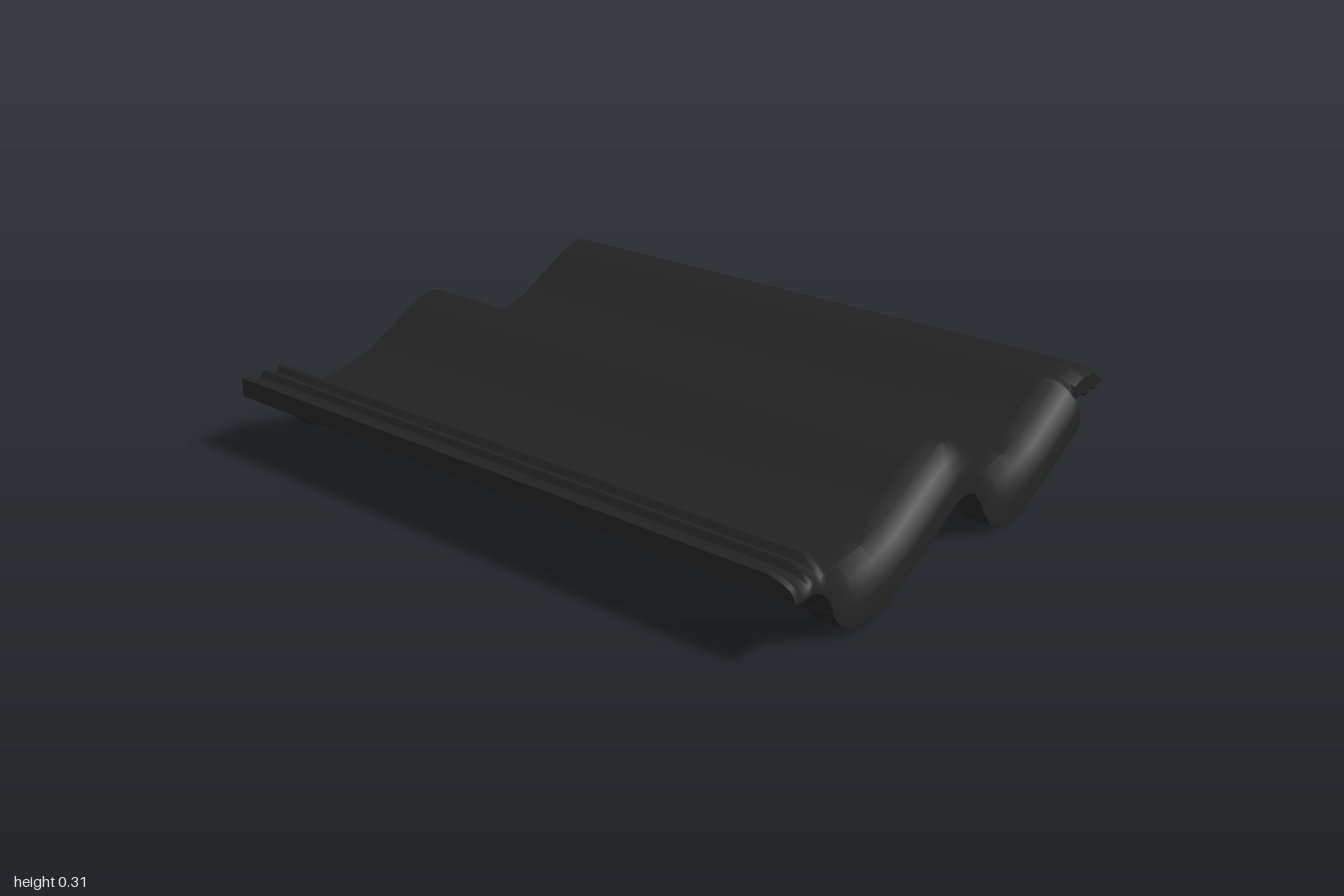
import * as THREE from 'three';
import { toCreasedNormals } from 'three/addons/utils/BufferGeometryUtils.js';

// Cross-section columns: [top x, top y, bottom x, bottom y]
const FLANGE = [
  [-.79, .232, -.79, .175], [-.772, .235, -.772, .175], [-.76, .219, -.76, .175],
  [-.74, .211, -.74, .175], [-.722, .216, -.73, .175], [-.71, .233, -.72, .174],
  [-.697, .23, -.705, .171], [-.686, .212, -.69, .165], [-.666, .214, -.675, .155],
  [-.652, .231, -.662, .143], [-.635, .23, -.65, .128], [-.625, .208, -.63, .09],
];
const WAVE = [ // relative to the middle of a pan
  [0, .14, 0, 0], [.1, .15, .1, .013], [.2, .18, .21, .05], [.3, .232, .32, .105],
  [.37, .27, .39, .145], [.42, .292, .425, .164], [.47, .304, .46, .173],
  [.51, .298, .495, .17], [.55, .276, .525, .155], [.585, .24, .555, .12],
  [.61, .2, .58, .08], [.65, .16, .62, .03], [.68, .145, .665, .008],
];
const HOOK = [
  [.6, .28, .615, .165], [.612, .285, .622, .228], [.63, .293, .64, .232],
  [.65, .3, .665, .232], [.665, .304, .675, .23], [.68, .305, .685, .219],
  [.7, .304, .705, .222], [.715, .3, .715, .234], [.735, .293, .73, .234],
  [.75, .283, .74, .222], [.765, .272, .755, .222], [.78, .256, .765, .234],
  [.79, .245, .79, .234],
];
const PERIOD = 0.71;

// Stations from front to back: [z, underside recess, rounding of the front edge]
const STATIONS = [
  [1, 0, .92], [.995, 0, .6], [.985, 0, .4], [.96, 0, .19], [.92, 0, 0], [.87, .06, 0],
  [.8, .01, 0], [.74, .05, 0], [.67, .01, 0], [.52, .085, 0], [-.88, .09, 0],
  [-.91, 0, 0], [-1, 0, 0],
];

// Sweep a strip of columns along z into a closed solid
function sweep(columns, stations, recessed) {
  const n = columns.length, ring = 2 * n, pos = [], index = [];
  for (const [z, lift, round] of stations) {
    const rows = columns.map(([tx, ty, bx, by]) => {
      const k = recessed ? lift / 0.14 : 0;
      return {
        top: [THREE.MathUtils.lerp(tx, bx, round), THREE.MathUtils.lerp(ty, by, round), z],
        bottom: [THREE.MathUtils.lerp(bx, tx, k), THREE.MathUtils.lerp(by, ty, k), z],
      };
    });
    rows.forEach((r) => pos.push(...r.top));
    rows.reverse().forEach((r) => pos.push(...r.bottom));
  }
  const quad = (a, b, c, d) => index.push(a, b, c, a, c, d);
  for (let s = 0; s < stations.length - 1; s++) {
    for (let i = 0; i < ring; i++) {
      const j = (i + 1) % ring, f = s * ring, b = f + ring;
      quad(f + i, f + j, b + j, b + i);
    }
  }
  // End caps
  const back = (stations.length - 1) * ring;
  for (let i = 0; i < n - 1; i++) {
    const low = ring - 1 - i;
    quad(low, low - 1, i + 1, i);
    quad(back + i, back + i + 1, back + low - 1, back + low);
  }
  const geo = new THREE.BufferGeometry();
  geo.setAttribute('position', new THREE.Float32BufferAttribute(pos, 3));
  geo.setIndex(index);
  return toCreasedNormals(geo, 0.6);
}

export function createModel() {
  const group = new THREE.Group();
  group.name = 'roofTile';
  const material = new THREE.MeshStandardMaterial({ color: 0x222222 });
  const add = (name, geometry) => {
    const mesh = new THREE.Mesh(geometry, material);
    mesh.name = name;
    group.add(mesh);
  };

  const wave = (centre, from, to) =>
    WAVE.slice(from, to).map(([tx, ty, bx, by]) => [tx + centre, ty, bx + centre, by]);

  // Two pans with a roll between them, hollowed underneath
  const body = [
    FLANGE[FLANGE.length - 1],
    ...wave(-0.5 - PERIOD, 10),
    ...wave(-0.5, 0),
    ...wave(-0.5 + PERIOD, 0, 5),
    HOOK[0],
  ];
  add('wavyBody', sweep(body, STATIONS, true));

  // Grooved interlocking edge
  add('groovedFlange', sweep(FLANGE, STATIONS, false));

  // Overlapping edge, slightly shorter at the front
  const hookStations = [[.975, 0, .3], ...STATIONS.filter(([z]) => z < .97)];
  add('overlapHook', sweep(HOOK, hookStations, false));
  return group;
}
